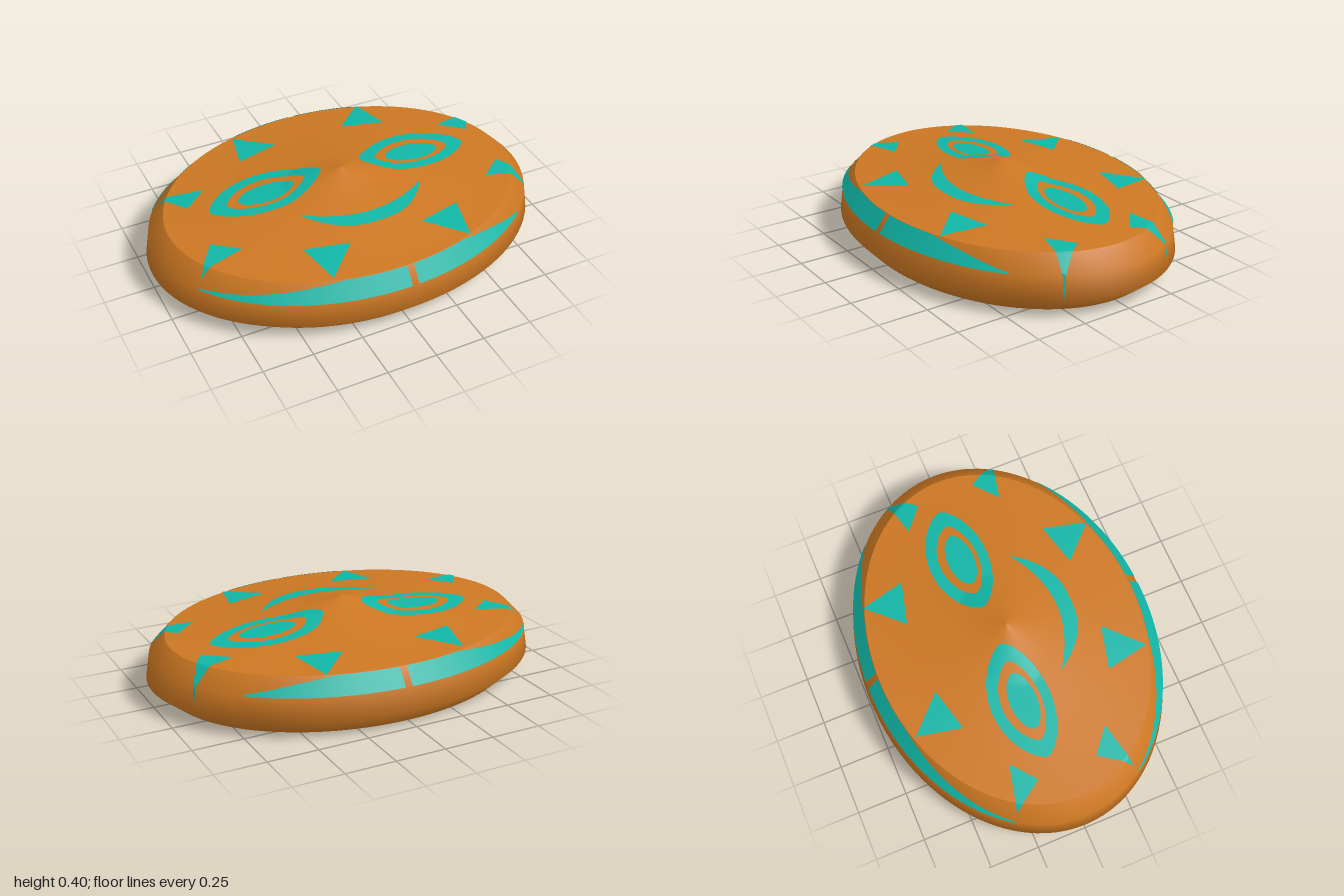
import * as THREE from 'three';

const DEPTH = 0.745;   // z radius compared with the x radius
const LIFT = 0.004;    // paint thickness
const MID = 0.03;      // the face is painted slightly off centre

// Half profile of the stone, from the peak out to the widest painted edge: [radius, height]
const TOP = [[0, 0.4], [0.3, 0.32], [0.9, 0.28], [0.98, 0.2], [1, 0.08]];

function surfaceHeight(x, z) {
  const r = Math.hypot(x, z / DEPTH);
  for (let i = 1; i < TOP.length; i++) {
    const [r0, y0] = TOP[i - 1], [r1, y1] = TOP[i];
    if (r <= r1) return y0 + (y1 - y0) * (r - r0) / (r1 - r0);
  }
  return 0.08;
}

// Grid of triangles from a function (u, v) -> [x, y, z]
function grid(point, nu, nv) {
  const pos = [], index = [];
  for (let i = 0; i <= nu; i++) {
    for (let j = 0; j <= nv; j++) {
      pos.push(...point(i / nu, j / nv));
      if (i < nu && j < nv) {
        const a = i * (nv + 1) + j, b = a + nv + 1;
        index.push(a, b, a + 1, b, b + 1, a + 1);
      }
    }
  }
  const g = new THREE.BufferGeometry();
  g.setAttribute('position', new THREE.Float32BufferAttribute(pos, 3));
  g.setIndex(index);
  g.computeVertexNormals();
  return g;
}

// Paint between two plan curves, draped over the top of the stone
function drape(curveA, curveB, nu, nv) {
  return grid((u, v) => {
    const [ax, az] = curveA(u), [bx, bz] = curveB(u);
    const x = ax + (bx - ax) * v, z = az + (bz - az) * v;
    return [x, surfaceHeight(x, z) + LIFT, z];
  }, nu, nv);
}

export function createModel() {
  const model = new THREE.Group();
  const ochre = new THREE.MeshStandardMaterial({ color: 0xcc7722 });
  ochre.name = 'ochre';
  const teal = new THREE.MeshStandardMaterial({ color: 0x10b5a6, side: THREE.DoubleSide });
  teal.name = 'teal paint';

  function add(name, geometry, material) {
    const mesh = new THREE.Mesh(geometry, material);
    mesh.name = name;
    model.add(mesh);
  }

  // Stone: underside, rounded side and peaked top, with sharp edges between them
  function turned(name, points) {
    const g = new THREE.LatheGeometry(points.map(p => new THREE.Vector2(...p)), 96);
    g.scale(1, 1, DEPTH);
    add(name, g, ochre);
  }
  turned('underside', [[0, 0], [0.9, 0]]);
  turned('side', [[0.9, 0], [1, 0.08], [0.98, 0.2], [0.9, 0.28]]);
  turned('top', [[0.9, 0.28], [0.3, 0.32], [0, 0.4]]);

  // Eyes: almond outline with an almond iris
  const almond = (cx, halfWidth, up, down, power) => u => {
    const t = u * Math.PI * 2, s = Math.sin(t);
    const h = Math.pow(Math.abs(s), power);
    return [cx + halfWidth * Math.cos(t), -0.065 + (s > 0 ? -up : down) * h];
  };
  for (const side of [-1, 1]) {
    const cx = MID + side * 0.403, name = side > 0 ? 'left' : 'right';
    add(name + 'EyeOutline', drape(almond(cx, 0.295, 0.165, 0.135, 1.35),
      almond(cx, 0.206, 0.112, 0.086, 1.35), 96, 6), teal);
    add(name + 'Iris', drape(almond(cx, 0.145, 0.07, 0.065, 1.1), () => [cx, -0.065], 64, 10), teal);
  }

  // Smile: crescent between two arcs
  const arc = (depth, power) => u => {
    const s = u * 2 - 1;
    return [MID + s * 0.33, 0.165 + depth * (1 - Math.pow(Math.abs(s), power))];
  };
  add('smile', drape(arc(0.115, 2), arc(0.192, 2.6), 60, 8), teal);

  // Triangular rays, mirrored to all four quarters; x is measured from the face middle
  const rays = {
    longRay: [[0.36, 0.61], [0.41, 0.385], [0.19, 0.44]],
    sideRay: [[0.885, 0.303], [0.66, 0.25], [0.78, 0.15]],
  };
  for (const [name, corners] of Object.entries(rays)) {
    for (const sx of [-1, 1]) {
      for (const sz of [-1, 1]) {
        const [p, q, r] = corners.map(([x, z]) => [MID + sx * x, sz * z]);
        const edge = end => u => [p[0] + (end[0] - p[0]) * u, p[1] + (end[1] - p[1]) * u];
        add(name, drape(edge(q), edge(r), 28, 20), teal);
      }
    }
  }

  // Tapering bands on the sloping rim, front and back: [x, top height] along each band
  const bands = {
    rightBand: [[-0.88, 0.205], [-0.5, 0.252], [-0.28, 0.28], [0.015, 0.28]],
    leftBand: [[0.05, 0.28], [0.34, 0.28], [0.52, 0.252], [0.74, 0.205]],
  };
  for (const [name, pts] of Object.entries(bands)) {
    for (const sz of [-1, 1]) {
      add(name, grid((u, v) => {
        const k = Math.min(Math.floor(u * 3), 2), f = u * 3 - k;
        const x = pts[k][0] + (pts[k + 1][0] - pts[k][0]) * f;
        const top = pts[k][1] + (pts[k + 1][1] - pts[k][1]) * f;
        const y = 0.2 + (top - 0.2) * v;
        const r = 0.98 - (y - 0.2) + LIFT;
        return [x, y, sz * DEPTH * Math.sqrt(r * r - x * x)];
      }, 60, 4), teal);
    }
  }

  return model;
}
